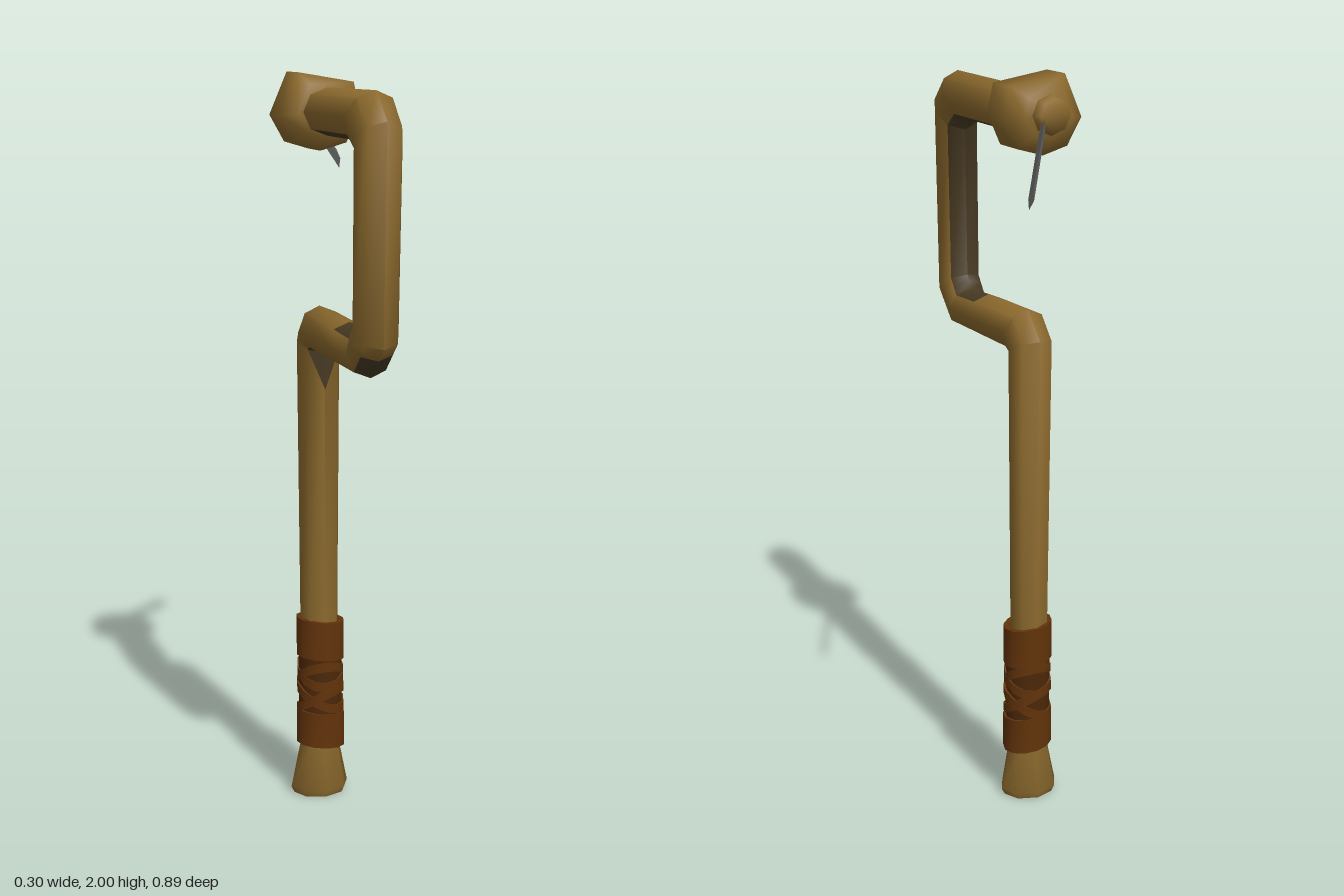
import * as THREE from 'three';
import { toCreasedNormals } from 'three/addons/utils/BufferGeometryUtils.js';

const V3 = (x, y, z) => new THREE.Vector3(x, y, z);
const CX = -0.035, CZ = -0.07; // shaft axis

// Skin over cross-section loops that run counter-clockwise about the path
function loft(rings, crease = 0.95, capped = true) {
  const n = rings[0].length, pos = [], index = [];
  rings.forEach(r => r.forEach(p => pos.push(p.x, p.y, p.z)));
  for (let i = 0; i < rings.length - 1; i++) {
    for (let j = 0; j < n; j++) {
      const a = i * n + j, b = i * n + (j + 1) % n;
      index.push(a, b, b + n, a, b + n, a + n);
    }
  }
  if (capped) {
    const e = (rings.length - 1) * n;
    for (let j = 1; j < n - 1; j++) index.push(0, j + 1, j, e, e + j, e + j + 1);
  }
  const g = new THREE.BufferGeometry();
  g.setAttribute('position', new THREE.Float32BufferAttribute(pos, 3));
  g.setIndex(index);
  return toCreasedNormals(g, crease);
}

// Elliptic loop round centre c with half axes u and v
function ring(c, u, v, n) {
  return Array.from({ length: n }, (_, k) => {
    const a = (k / n) * Math.PI * 2;
    return c.clone().addScaledVector(u, Math.cos(a)).addScaledVector(v, Math.sin(a));
  });
}

// Closed band round the grip; tilt raises one side, turn says which
function band(y, height, rx, rz, tilt = 0, turn = 0, n = 12) {
  const loop = (h, s) => ring(V3(CX + 0.003, y + h, CZ), V3(0, 0, -rz * s), V3(-rx * s, 0, 0), n)
    .map((p, k) => p.setY(p.y + tilt * Math.cos((k / n) * Math.PI * 2 - turn)));
  const h = height / 2;
  return loft([loop(-h, 0.75), loop(-h, 1), loop(h, 1), loop(h, 0.75)], 0.7, false);
}

function flatColour(name, color) {
  const m = new THREE.MeshStandardMaterial({ color });
  m.name = name;
  return m;
}

export function createModel() {
  const wood = flatColour('wood', 0x8b692d);
  const darkWood = flatColour('darkWood', 0x483a23);
  const leather = flatColour('leather', 0x62330a);
  const darkLeather = flatColour('darkLeather', 0x4c2709);
  const metal = flatColour('metal', 0x686667);

  const model = new THREE.Group();
  model.name = 'crookedStaff';
  const add = (name, geometry, material, parent = model) => {
    const mesh = new THREE.Mesh(geometry, material);
    mesh.name = name;
    parent.add(mesh);
  };

  // Cranked shaft: each row is z,y of one side, z,y of the other, half width in x
  const sections = [
    [-0.132, 0, -0.012, 0, 0.074],
    [-0.138, 0.018, -0.006, 0.018, 0.083],
    [-0.124, 0.15, -0.016, 0.15, 0.056],
    [-0.122, 0.5, -0.02, 0.5, 0.054],
    [-0.13, 1.32, -0.013, 1.27, 0.06],
    [-0.06, 1.39, -0.008, 1.27, 0.062],
    [0.18, 1.382, 0.2, 1.267, 0.061],
    [0.29, 1.375, 0.34, 1.265, 0.06],
    [0.303, 1.393, 0.394, 1.316, 0.06],
    [0.315, 1.41, 0.43, 1.35, 0.06],
    [0.325, 1.81, 0.445, 1.895, 0.062],
    [0.28, 1.84, 0.37, 1.965, 0.066],
    [-0.06, 1.84, -0.06, 1.962, 0.066],
  ];
  const shaft = loft(sections.map(([az, ay, bz, by, hx]) => {
    const a = V3(CX, ay, az), b = V3(CX, by, bz);
    const c = a.clone().add(b).multiplyScalar(0.5);
    return ring(c, a.sub(c), V3(-hx, 0, 0), 8);
  }));

  // Dark wood on the inside of the crank and under its lower arm
  const quads = (sections.length - 1) * 8;
  for (let q = 0; q < quads; q++) {
    const i = Math.floor(q / 8), j = q % 8;
    const inside = i >= 6 && (j === 0 || j === 7);
    const under = i >= 4 && i <= 7 && (j === 3 || j === 4);
    shaft.addGroup(q * 6, 6, inside || under ? 1 : 0);
  }
  shaft.addGroup(quads * 6, Infinity, 0);
  add('shaft', shaft, [wood, darkWood]);

  // Dark pointed patch on the shaft below the lower arm
  const tip = V3(CX, 1.17, -0.0115), mid = V3(CX, 1.272, -0.01);
  const left = V3(CX + 0.044, 1.278, -0.026), right = V3(CX - 0.044, 1.278, -0.026);
  const patch = new THREE.BufferGeometry().setFromPoints([tip, left, mid, tip, mid, right]);
  patch.computeVertexNormals();
  add('elbowPatch', patch, darkWood);

  // Faceted head with an irregular outline, ending in a small knob
  const outline = [[-0.108, -0.015], [-0.06, 0.095], [0.092, 0.07], [0.108, -0.005],
    [0.072, -0.085], [0, -0.105], [-0.068, -0.085]];
  const headLoop = (z, s) => outline.map(([x, y]) => V3(-0.042 + x * s, 1.905 + y * s, z));
  add('head', loft([headLoop(0.012, 0.68), headLoop(-0.028, 1), headLoop(-0.125, 1),
    headLoop(-0.162, 0.62)], 1.6), wood);
  add('knob', loft([[-0.15, 0.052], [-0.165, 0.052], [-0.187, 0.041]].map(([z, r]) =>
    ring(V3(-0.045, 1.905, z), V3(r, 0, 0), V3(0, -r, 0), 8)), 1.6), wood);

  // Thin metal pin slanting out of the knob
  const start = V3(-0.025, 1.883, -0.16), end = V3(0.147, 1.75, -0.433);
  const u = V3(0, 0.025, -0.011);
  const v = end.clone().sub(start).cross(u).setLength(0.007);
  add('pin', loft([ring(start, u, v, 4), ring(end, u, v, 4)], 0.3), metal);

  // Leather grip: core, two cuffs and crossing straps
  const grip = new THREE.Group();
  grip.name = 'grip';
  model.add(grip);
  add('gripCore', band(0.33, 0.34, 0.062, 0.057), darkLeather, grip);
  add('topCuff', band(0.458, 0.11, 0.068, 0.061, 0.008, Math.PI / 2), leather, grip);
  add('bottomCuff', band(0.195, 0.1, 0.069, 0.061, 0.008, Math.PI / 2), leather, grip);
  [[0.36, 0], [0.35, Math.PI], [0.29, 0.8], [0.28, Math.PI + 0.8]].forEach(([y, turn], i) =>
    add('strap' + (i + 1), band(y, 0.026, 0.066 + i * 0.0007, 0.06 + i * 0.0007, 0.035, turn), leather, grip));

  return model;
}
